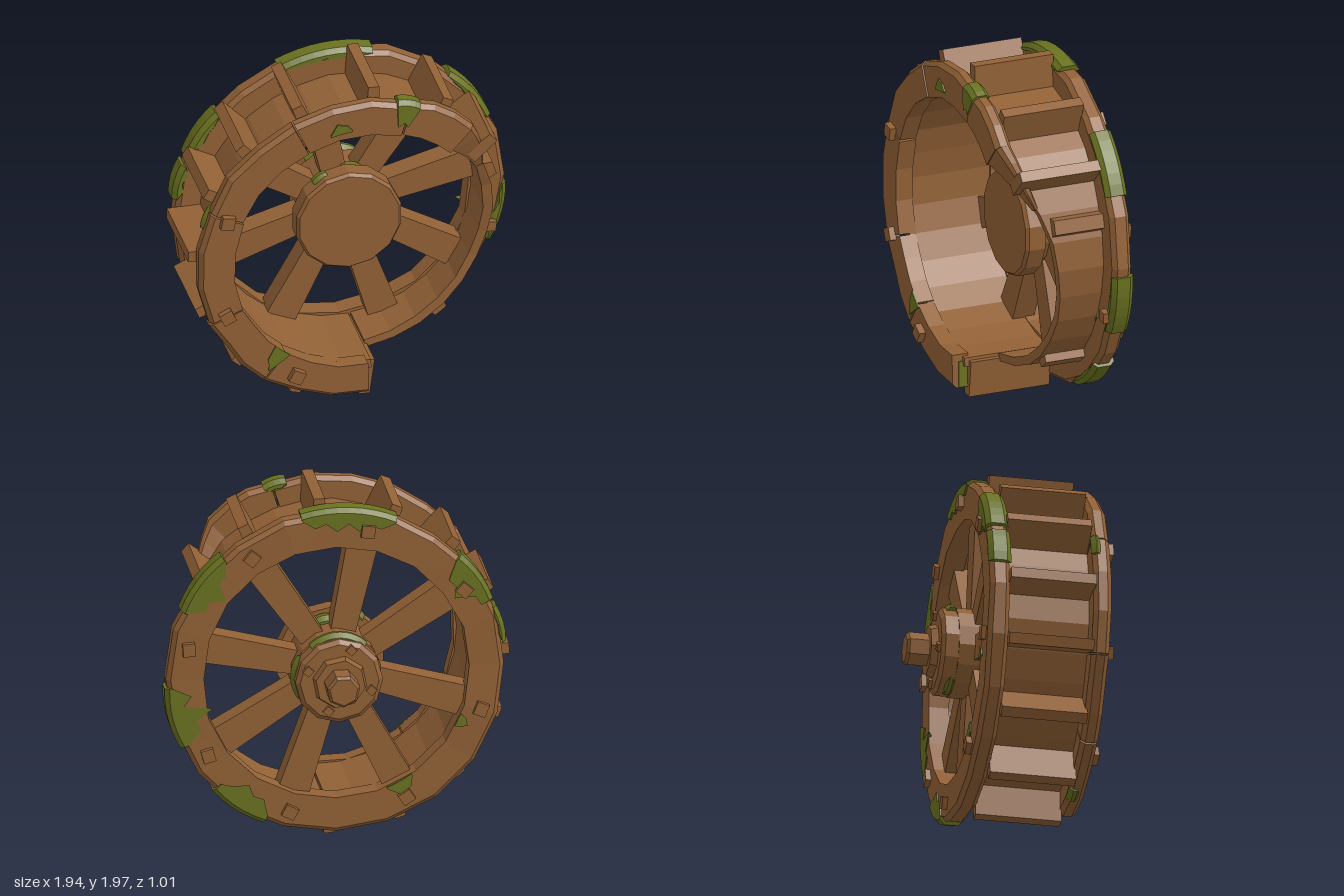
import * as THREE from 'three';

const D = Math.PI / 180;
const wood = new THREE.MeshStandardMaterial({ color: 0x926136 });
wood.name = 'wood';
const mossGreen = new THREE.MeshStandardMaterial({ color: 0x6a721f });
mossGreen.name = 'moss';

// repeatable jitter in -1..1
const jit = (k) => {
  const s = Math.sin(k * 127.1 + 3.7) * 43758.5453;
  return (s - Math.floor(s)) * 2 - 1;
};

function flat(geo) {
  const g = geo.index ? geo.toNonIndexed() : geo;
  g.computeVertexNormals();
  return g;
}

// sweep a closed cross-section [[r, z], ...] around the wheel axis, capped at both ends
function sweep(section, a0, a1, n) {
  const rows = [];
  for (let j = 0; j <= n; j++) {
    const t = j / n, a = a0 + (a1 - a0) * t;
    rows.push(section(a, t, j).map(([r, z]) => [r * Math.cos(a * D), r * Math.sin(a * D), z]));
  }
  const m = rows[0].length, pos = [];
  const tri = (a, b, c) => pos.push(...a, ...b, ...c);
  for (let j = 0; j < n; j++) {
    for (let i = 0; i < m; i++) {
      const k = (i + 1) % m;
      tri(rows[j][i], rows[j + 1][i], rows[j + 1][k]);
      tri(rows[j][i], rows[j + 1][k], rows[j][k]);
    }
  }
  for (let i = 1; i < m - 1; i++) {
    tri(rows[0][0], rows[0][i], rows[0][i + 1]);
    tri(rows[n][0], rows[n][i + 1], rows[n][i]);
  }
  const g = new THREE.BufferGeometry();
  g.setAttribute('position', new THREE.Float32BufferAttribute(pos, 3));
  g.computeVertexNormals();
  return g;
}

// rim cross-section with worn outer corners
const rimSection = (r0, r1, z0, z1, c = 0.025) => [
  [r0, z0], [r1 - c, z0], [r1, z0 + c], [r1, z1 - c], [r1 - c, z1], [r0, z1],
];

export function createModel() {
  const model = new THREE.Group();
  const wheel = new THREE.Group();
  wheel.name = 'waterWheel';
  wheel.position.set(0.02, 1, 0);
  model.add(wheel);

  const add = (name, geo, mat = wood) => {
    const mesh = new THREE.Mesh(geo, mat);
    mesh.name = name;
    wheel.add(mesh);
    return mesh;
  };

  // board lying along a radius, w0 wide at the inner end and w1 at the outer
  const board = (name, angle, r0, r1, w0, w1, z0, z1, twist = 0) => {
    const g = new THREE.BoxGeometry(r1 - r0, 1, z1 - z0);
    const p = g.attributes.position;
    for (let i = 0; i < p.count; i++) p.setY(i, p.getY(i) * (p.getX(i) < 0 ? w0 : w1));
    g.rotateZ(twist);
    g.translate((r0 + r1) / 2, 0, (z0 + z1) / 2);
    g.rotateZ(angle * D);
    return add(name, flat(g));
  };

  // disc or hub piece along the axle
  const disc = (name, rBack, rFront, z0, z1, sides, spin = 0) => {
    const g = new THREE.CylinderGeometry(rFront, rBack, z1 - z0, sides);
    g.rotateX(Math.PI / 2);
    g.rotateZ(spin);
    g.translate(0, -0.01, (z0 + z1) / 2);
    return add(name, flat(g));
  };

  // complete back rim
  add('backRim', sweep((a, t, j) => {
    const k = j % 20;
    return rimSection(0.745 + 0.008 * jit(k), 0.948 + 0.01 * jit(k + 40), -0.22 + 0.005 * jit(k + 80), -0.105);
  }, 0, 360, 20));

  // broken front rim made of separate planks
  const joints = [48, 73, 115, 158, 202, 233, 272];
  for (let i = 0; i < joints.length - 1; i++) {
    add('frontRimPlank', sweep((a, t, j) => {
      const r0 = 0.745 + 0.006 * jit(i * 5 + j);
      return rimSection(r0, r0 + 0.2 + 0.01 * jit(i * 7 + j + 30), 0.365, 0.46 + 0.006 * jit(i + 9));
    }, joints[i] + 0.3, joints[i + 1] - 0.3, 3));
  }
  // splinter sweeping back from the upper end of the front rim
  add('frontRimSplinter', sweep((a, t) => {
    const z = 0.25 + 0.115 * t;
    return rimSection(0.755, 0.8 + 0.14 * t, z, z + 0.02 + 0.07 * t, 0.004 + 0.02 * t);
  }, 25, 48.3, 4));

  // drum wall whose front edge is broken away on one side
  const edge = [[-85, 0.2], [-60, 0.16], [-20, 0.13], [0, 0.17], [15, 0.2], [25, 0.26], [48, 0.4], [276, 0.4]];
  const edgeZ = (a) => {
    let i = 0;
    while (i < edge.length - 2 && a > edge[i + 1][0]) i++;
    const [p, q] = [edge[i], edge[i + 1]];
    return THREE.MathUtils.lerp(p[1], q[1], THREE.MathUtils.clamp((a - p[0]) / (q[0] - p[0]), 0, 1));
  };
  add('drumWall', sweep((a, t, j) => {
    const r = 0.755 + 0.005 * jit(j), o = 0.805 + 0.008 * jit(j + 50), z = edgeZ(a);
    return [[r, -0.12], [o, -0.12], [o, z], [r, z]];
  }, -85, 274, 30));

  // paddles, missing along the broken side
  [36, 58.5, 85, 111, 134.5, 154, 177, 199, 223, 247, 272].forEach((a, i) => {
    const reach = i === 0 ? 0.945 : 0.987 + 0.005 * jit(i);
    board('paddle', a, 0.77, reach, 0.085, 0.062, -0.11, 0.37 + 0.006 * jit(i + 3), 0.12 * jit(i + 11));
  });
  // stumps of two lost paddles
  board('paddleStump', 17, 0.77, 0.85, 0.12, 0.08, -0.11, 0.19);
  board('paddleStump', -52, 0.77, 0.85, 0.12, 0.08, -0.11, 0.13);

  // spokes, and a bolt through the back rim beyond each of them
  [12.5, 56, 102, 147.5, 197.5, 242.5, 288, 328].forEach((a, i) => {
    board('spoke', a, 0.15, 0.77, 0.135, 0.178, -0.16, -0.03);
    board('backRimBolt', a, 0.81, 0.88, 0.075, 0.075, -0.25, -0.2, 0.3 * jit(i + 5));
  });
  [158.6, 201, 242.5].forEach((a, i) =>
    board('frontRimBolt', a, 0.805, 0.88, 0.075, 0.075, 0.44, 0.5, 0.3 * jit(i + 2)));
  board('innerRimBolt', -19, 0.88, 0.94, 0.06, 0.06, -0.12, -0.07, 0.2);

  // hub, collar and axle
  disc('hubFrontDisc', 0.305, 0.305, 0.02, 0.115, 14);
  disc('hubFrontBevel', 0.305, 0.29, 0.115, 0.135, 14);
  disc('hubCore', 0.25, 0.25, -0.25, 0.025, 14);
  disc('hubBackDisc', 0.245, 0.245, -0.325, -0.24, 12);
  disc('hubBackBevel', 0.22, 0.245, -0.345, -0.325, 12);
  disc('axleCollar', 0.14, 0.155, -0.385, -0.34, 8, 0.2);
  disc('axle', 0.095, 0.095, -0.495, -0.38, 7);
  disc('axleTip', 0.08, 0.095, -0.51, -0.495, 7);
  for (let i = 0; i < 4; i++) board('hubBolt', 20 + i * 90, 0.165, 0.21, 0.045, 0.045, -0.365, -0.33, 0.4);

  // ragged moss wrapped over an outer edge; back and front are its reach down each face
  const moss = (a0, a1, back, front, r1, z0, z1, seed) => {
    const n = Math.max(4, Math.round((a1 - a0) / 4));
    add('mossPatch', sweep((a, t, j) => {
      const body = Math.sin(Math.PI * (0.08 + 0.84 * t));
      const spike = body * (j % 2 ? 1.15 : 0.65) * (1 + 0.25 * jit(seed + j));
      const o = r1 + 0.003 + 0.01 * body;
      return [[r1 - 0.015 - back * spike, z0 - 0.007], [o - 0.025, z0 - 0.007], [o, z0 + 0.02],
        [o, z1 - 0.02], [o - 0.025, z1 + 0.006], [r1 - 0.015 - front * spike, z1 + 0.006]];
    }, a0, a1, n), mossGreen);
  };
  // back rim
  [[25, 48, 0.14, 0.02], [-25, -3, 0.16, 0.02], [-65, -44, 0.16, 0.02], [78, 111, 0.1, 0.03],
    [137, 156, 0.17, 0.03], [159, 172, 0.01, 0.03]].forEach(([a, b, d, f], i) =>
    moss(a, b, d, f, 0.953, -0.223, -0.105, i * 17));
  // front rim
  moss(70, 78, 0.03, 0.18, 0.948, 0.37, 0.466, 200);
  moss(157, 165, 0.01, 0.01, 0.945, 0.365, 0.41, 213);
  moss(254, 260, 0.01, 0.01, 0.94, 0.37, 0.43, 226);
  add('mossOnRimEnd', sweep(() => [[0.78, 0.37], [0.93, 0.37], [0.93, 0.425], [0.78, 0.425]], 271.5, 272.2, 1), mossGreen);
  // hub
  moss(50, 130, 0.04, 0.02, 0.246, -0.3, -0.24, 300);
  moss(-120, -80, 0.04, 0.02, 0.248, -0.3, -0.24, 330);
  moss(-30, 30, 0.02, 0.01, 0.25, -0.27, -0.24, 340);
  moss(66, 92, 0.02, 0.02, 0.262, -0.06, 0.015, 360);
  moss(112, 130, 0.03, 0.01, 0.3, 0.015, 0.08, 350);

  // small pointed moss tufts lying on the rim faces, rooted at radius r
  const tuft = (a0, a1, r, h, z) => add('mossTuft', sweep((a, t, j) => {
    const top = r + 0.01 + h * Math.sin(Math.PI * t) * (j % 2 ? 1 : 0.75);
    return [[r, z], [top, z], [top, z + 0.009], [r, z + 0.009]];
  }, a0, a1, 5), mossGreen);
  tuft(95, 104, 0.785, 0.06, 0.462);
  tuft(227, 235, 0.742, 0.14, 0.462);
  tuft(-30, -22, 0.76, 0.05, -0.107);
  tuft(202, 208, 0.745, 0.06, -0.231);
  tuft(236, 248, 0.745, 0.08, -0.231);

  return model;
}
